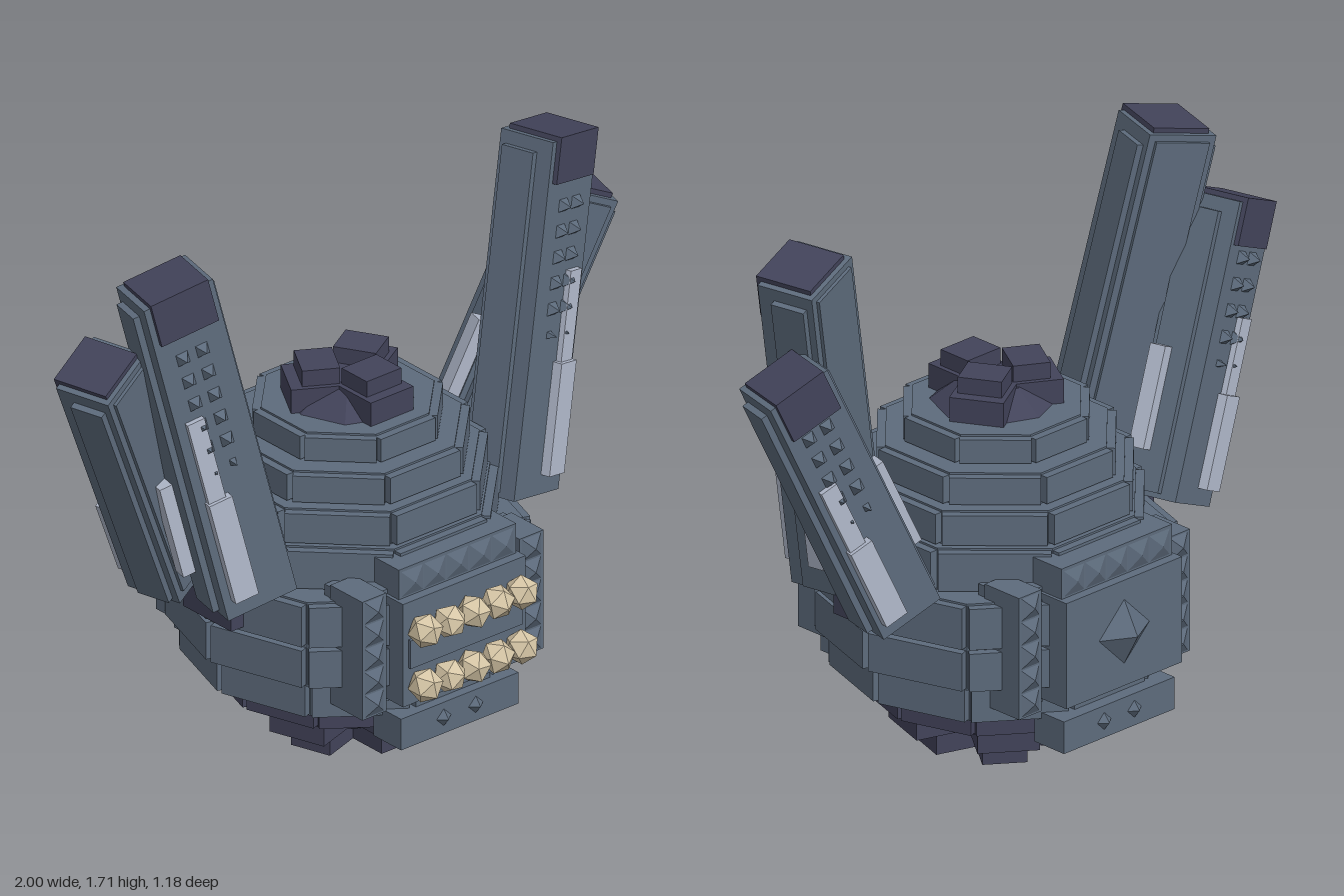
import * as THREE from 'three';

const mat = (name, color) => {
  const m = new THREE.MeshStandardMaterial({ color, flatShading: true });
  m.name = name;
  return m;
};

export function createModel() {
  const slate = mat('slate', 0x5d6b7c), dark = mat('dark violet', 0x42435a);
  const pale = mat('pale steel', 0xb0b8ca), bone = mat('bone', 0xd6c6a6);
  const model = new THREE.Group();
  model.name = 'fortress';

  const add = (parent, name, geo, material, x = 0, y = 0, z = 0) => {
    const m = new THREE.Mesh(geo, material);
    m.name = name;
    m.position.set(x, y, z);
    parent.add(m);
    return m;
  };
  const box = (parent, name, material, w, h, d, x, y, z) =>
    add(parent, name, new THREE.BoxGeometry(w, h, d), material, x, y, z);
  const group = (name, parent = model) => {
    const g = new THREE.Group();
    g.name = name;
    parent.add(g);
    return g;
  };
  // square pyramid pointing along +z or -z
  const pyramid = (parent, name, material, w, h, dir, x, y, z) => {
    const geo = new THREE.ConeGeometry(w * 0.707, h, 4).rotateY(Math.PI / 4).rotateX(dir * Math.PI / 2);
    return add(parent, name, geo, material, x, y, z + dir * h / 2);
  };

  // Ring of plates around a solid core; one plate always faces +z
  function tier(name, sides, y0, y1, r, material) {
    const g = group(name);
    const h = y1 - y0, half = Math.tan(Math.PI / sides);
    const core = new THREE.CylinderGeometry(1, 1, h, sides).rotateY(Math.PI / sides);
    const cr = (r - 0.025) / Math.cos(Math.PI / sides);
    core.scale(cr, 1, cr);
    add(g, 'tierCore', core, material, 0, (y0 + y1) / 2, 0);
    for (let i = 0; i < sides; i++) {
      const p = group('tierPlate', g);
      p.rotation.y = i / sides * Math.PI * 2;
      box(p, 'plate', material, 2 * half * r * 0.93, h - 0.012, 0.06, 0, (y0 + y1) / 2, r - 0.03);
    }
    g.position.z = -0.01;
  }
  tier('lowerSkirt', 10, 0.16, 0.25, 0.37, dark);
  tier('lowerHull', 10, 0.245, 0.365, 0.46, slate);
  tier('middleHull', 10, 0.36, 0.49, 0.5, slate);
  tier('upperHull', 10, 0.49, 0.63, 0.5, slate);
  tier('shoulderTier', 8, 0.63, 0.76, 0.42, slate);
  tier('domeTierOne', 8, 0.76, 0.865, 0.39, slate);
  tier('domeTierTwo', 8, 0.865, 0.96, 0.34, slate);
  tier('domeTierThree', 8, 0.96, 1.045, 0.265, slate);

  // Radial blocks for the crown and the underside
  function blocks(name, n, y0, y1, r0, r1, w) {
    const g = group(name);
    for (let i = 0; i < n; i++) {
      const p = group('spoke', g);
      p.rotation.y = i / n * Math.PI * 2;
      box(p, 'block', dark, w, y1 - y0, r1 - r0, 0, (y0 + y1) / 2, (r0 + r1) / 2);
    }
  }
  blocks('crownBase', 3, 1.03, 1.12, 0.0, 0.185, 0.16);
  blocks('crownTop', 3, 1.11, 1.17, 0.04, 0.15, 0.13);
  add(model, 'crownCore', new THREE.CylinderGeometry(0.1, 0.19, 0.07, 8), dark, 0, 1.075, 0);
  blocks('footUpper', 5, 0.07, 0.17, 0.0, 0.29, 0.18);
  blocks('footLower', 5, 0, 0.09, 0.08, 0.215, 0.13);
  add(model, 'footCore', new THREE.CylinderGeometry(0.31, 0.15, 0.12, 10), dark, 0, 0.11, 0);

  // Armoured panel with studded frame, shared by front and back
  function panel(name, depth) {
    const g = group(name);
    box(g, 'panelMount', slate, 0.67, 0.36, 0.14, 0, 0.485, 0.35);
    box(g, 'panelBody', slate, 0.46, 0.33, depth - 0.25, 0, 0.485, (depth + 0.25) / 2);
    box(g, 'panelBrow', slate, 0.44, 0.1, 0.22, 0, 0.695, depth - 0.14);
    box(g, 'panelLedge', slate, 0.44, 0.1, 0.12, 0, 0.22, depth - 0.08);
    for (let i = 0; i < 5; i++)
      pyramid(g, 'browStud', slate, 0.08, 0.016, 1, (i - 2) * 0.085, 0.695, depth - 0.03);
    for (const s of [-1, 1]) {
      box(g, 'sideStrip', slate, 0.09, 0.38, 0.14, s * 0.295, 0.485, 0.38);
      for (let i = 0; i < 5; i++)
        pyramid(g, 'sideStud', slate, 0.07, 0.02, 1, s * 0.295, 0.335 + i * 0.075, 0.45);
      const stud = add(g, 'ledgeStud', new THREE.OctahedronGeometry(0.027), slate, s * 0.06, 0.222, depth - 0.02);
      stud.scale.z = 0.8;
    }
    return g;
  }
  const front = panel('frontPanel', 0.5);
  box(front, 'toothBar', slate, 0.42, 0.09, 0.02, 0, 0.485, 0.5);
  for (const y of [0.39, 0.565])
    for (let i = 0; i < 5; i++) {
      const t = add(front, 'tooth', new THREE.IcosahedronGeometry(0.052), bone, (i - 2) * 0.09, y, 0.54);
      t.rotation.set(0.3 * i, 0.5 * i, 0.2);
    }
  const back = panel('backPanel', 0.53);
  back.rotation.y = Math.PI;
  const boss = add(back, 'backBoss', new THREE.OctahedronGeometry(0.1), slate, 0, 0.49, 0.53);
  boss.scale.z = 0.55;

  // Leaning tower; s is the side (+x or -x), f the way its studded face looks
  function tower(name, s, f, bottom, top, w, d, yaw, rows, row0) {
    const g = group(name);
    const a = new THREE.Vector3(bottom[0] * s, bottom[1], bottom[2]);
    const dir = new THREE.Vector3(top[0] * s, top[1], top[2]).sub(a);
    const L = dir.length();
    g.position.copy(a);
    g.quaternion.setFromUnitVectors(new THREE.Vector3(0, 1, 0), dir.normalize());
    g.quaternion.multiply(new THREE.Quaternion().setFromAxisAngle(new THREE.Vector3(0, 1, 0), s * f * yaw));
    const face = f * d / 2;
    box(g, 'towerBody', slate, w, L - 0.015, d, 0, (L - 0.015) / 2, 0);
    for (const e of [-1, 1])
      box(g, 'towerRib', slate, 0.03, L - 0.07, d * 0.6, e * (w / 2 + 0.005), L / 2 - 0.02, -f * 0.015);
    box(g, 'towerBackPlate', slate, w * 0.8, L - 0.07, 0.02, 0, L / 2, -face);
    box(g, 'towerCap', dark, w * 0.83, 0.14, d, 0, L - 0.07, f * 0.015);
    for (let i = 0; i < rows; i++)
      for (const e of [-1, 1])
        pyramid(g, 'towerStud', slate, i ? 0.038 : 0.02, 0.03, f, s * 0.005 + e * 0.032, L * row0 + i * 0.077, face);
    // pale fins on the studded face
    box(g, 'upperFin', pale, 0.055, L * 0.27, 0.035, s * 0.055, L * 0.48, face);
    box(g, 'lowerFin', pale, 0.075, L * 0.31, 0.06, s * 0.05, L * 0.21, face);
    // pale fin on the side
    box(g, 'sideFin', pale, 0.07, 0.3, 0.05, s * f * (w / 2 + 0.025), 0.28, -f * 0.04);
  }
  for (const s of [-1, 1]) {
    const side = s > 0 ? 'left' : 'right';
    tower(side + 'FrontTower', s, 1, [0.49, 0.63, 0.13], [0.725, 1.68, 0.03], 0.225, 0.18, 0.25, 6, 0.445);
    tower(side + 'BackTower', s, -1, [0.535, 0.61, -0.15], [0.895, 1.42, -0.05], 0.205, 0.18, 0.25, 5, 0.46);
    box(model, side + 'Shoulder', dark, 0.14, 0.11, 0.21, s * 0.465, 0.565, 0);
  }
  return model;
}
